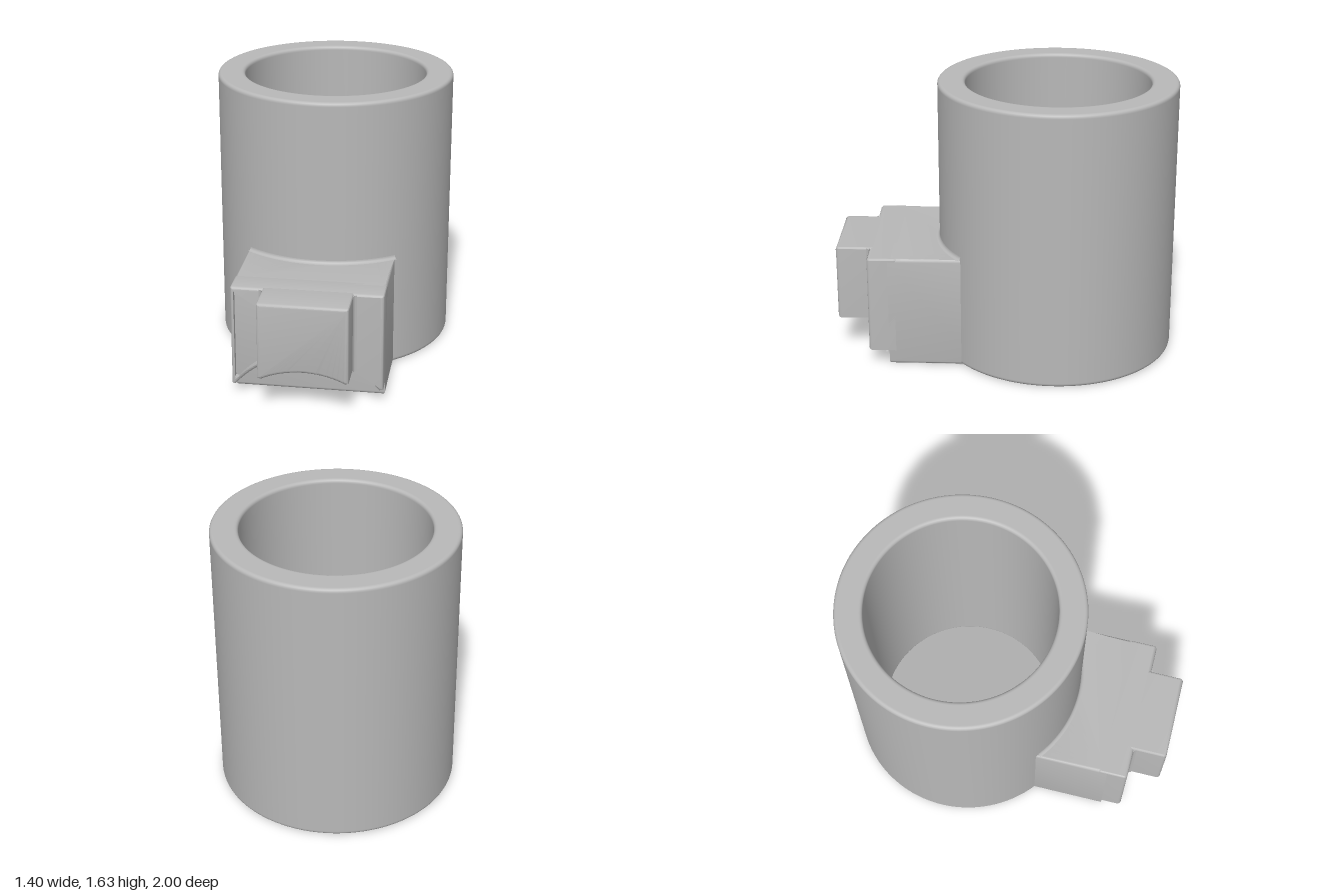
import * as THREE from 'three';
import { toCreasedNormals } from 'three/addons/utils/BufferGeometryUtils.js';

const R = 0.02;                              // edge rounding
const TUBE_Z = -0.3, OUTER = 0.7, INNER = 0.54, HEIGHT = 1.635;
const X0 = -0.44, X1 = 0.425, TOP = 0.67;    // block width and height
const FACE = 0.68, ARCH_R = 0.54, ARCH_Y = -0.275;

// Extrude with rounded edges that stay inside the outline
function roundedExtrude(shape, length) {
  const geo = new THREE.ExtrudeGeometry(shape, {
    depth: length - 2 * R, bevelEnabled: true, bevelSize: R, bevelThickness: R,
    bevelOffset: -R, bevelSegments: 4, curveSegments: 48,
  });
  geo.translate(0, 0, R);
  return toCreasedNormals(geo, 0.55);
}

// Closed ring profile with four rounded corners
function tubeGeometry() {
  const points = [];
  const corners = [[OUTER - R, R], [OUTER - R, HEIGHT - R], [INNER + R, HEIGHT - R], [INNER + R, R]];
  corners.forEach(([cx, cy], k) => {
    const a0 = (k - 1) * Math.PI / 2, a1 = k * Math.PI / 2, e = 0.004;
    const at = (a, s) => [cx + R * Math.cos(a) - s * Math.sin(a), cy + R * Math.sin(a) + s * Math.cos(a)];
    points.push(at(a0, -e));
    for (let i = 0; i <= 5; i++) points.push(at(a0 + (a1 - a0) * i / 5, 0));
    points.push(at(a1, e));
  });
  points.push(points[0]);
  return new THREE.LatheGeometry(points.map(p => new THREE.Vector2(...p)), 128);
}

// Hollow quarter-round swept about the y axis
function sweptFillet(r, y, dr, dy, middle, half) {
  const points = [];
  for (let i = 0; i <= 5; i++) {
    const t = i / 5 * Math.PI / 2;
    points.push(new THREE.Vector2(r + dr * (1 - Math.sin(t)), y + dy * (1 - Math.cos(t))));
  }
  if (dr * dy < 0) points.reverse();
  return new THREE.LatheGeometry(points, 48, middle - half, 2 * half);
}

// Front outline: square top, arched underside
function archedShape(x0, x1) {
  const shape = new THREE.Shape();
  const a0 = Math.acos((x0 + R) / ARCH_R), a1 = Math.acos((x1 - R) / ARCH_R);
  const yAt = x => ARCH_Y + Math.sqrt(ARCH_R ** 2 - x * x);
  shape.moveTo(x1 - R, yAt(x1 - R));
  shape.lineTo(x1, yAt(x1 - R) + 0.005);
  shape.lineTo(x1, TOP - 0.012);
  shape.quadraticCurveTo(x1, TOP, x1 - 0.012, TOP);
  shape.lineTo(x0 + 0.012, TOP);
  shape.quadraticCurveTo(x0, TOP, x0, TOP - 0.012);
  shape.lineTo(x0, yAt(x0 + R) + 0.005);
  shape.lineTo(x0 + R, yAt(x0 + R));
  shape.absarc(0, ARCH_Y, ARCH_R, a0, a1, true);
  return shape;
}

export function createModel() {
  const model = new THREE.Group();
  const grey = new THREE.MeshStandardMaterial({ color: 0xb8b8b8, side: THREE.DoubleSide });
  grey.name = 'grey';
  const add = (name, geometry, x = 0, y = 0, z = 0) => {
    const mesh = new THREE.Mesh(geometry, grey);
    mesh.name = name;
    mesh.position.set(x, y, z);
    model.add(mesh);
    return mesh;
  };

  // Open tube
  add('tube', tubeGeometry(), 0, 0, TUBE_Z);

  // Base of the block, its back curved to end inside the tube wall
  const wall = 0.62, plan = new THREE.Shape();
  plan.moveTo(X0, -FACE);
  plan.lineTo(X1, -FACE);
  plan.lineTo(X1, -TUBE_Z - Math.sqrt(wall ** 2 - X1 ** 2));
  plan.absarc(0, -TUBE_Z, wall, -Math.acos(X1 / wall), -Math.PI + Math.acos(-X0 / wall), true);
  add('blockBase', roundedExtrude(plan, TOP).rotateX(-Math.PI / 2));

  // Arched front slab and the narrower tongue ahead of it
  add('blockFront', roundedExtrude(archedShape(X0, X1), 0.8 - 0.62), 0, 0, 0.62);
  add('tongue', roundedExtrude(archedShape(-0.255, 0.255), 1 - 0.74), 0, 0, 0.74);

  // Fillets where the block meets the tube and the arch meets the base face
  add('tubeFillet', sweptFillet(OUTER, TOP, R, R, 0, 0.655), 0, 0, TUBE_Z);
  add('archFillet', sweptFillet(ARCH_R, FACE, -R, R, Math.PI, 0.87).rotateX(Math.PI / 2), 0, ARCH_Y, 0);

  // Upright fillets beside the tongue
  for (const s of [-1, 1]) {
    const corner = new THREE.Shape();
    corner.moveTo(0, 0);
    corner.lineTo(s * R, 0);
    corner.quadraticCurveTo(s * R * 0.2, -R * 0.2, 0, -R);
    const geo = new THREE.ExtrudeGeometry(corner, { depth: TOP - 0.205, bevelEnabled: false, curveSegments: 6 });
    add('tongueFillet', toCreasedNormals(geo.rotateX(-Math.PI / 2), 0.55), s * 0.255, 0.2, 0.8);
  }
  return model;
}
